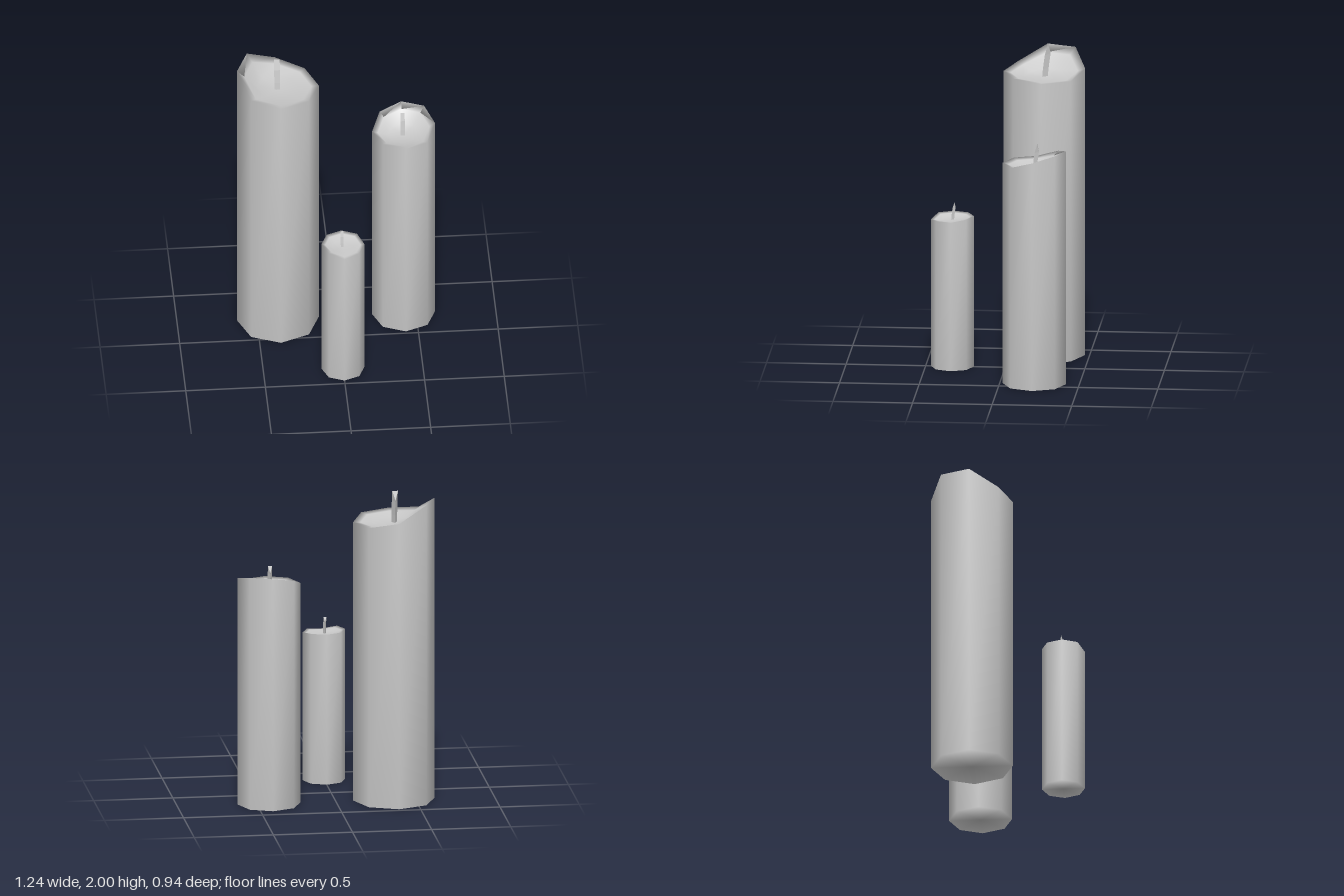
import * as THREE from 'three';

const SIDES = 8;

// Closed loft through rings of points, with a centre point capping each end
function loft(rings, bottom, top, sides) {
  const pos = [...bottom, ...rings.flat(2), ...top];
  const last = 1 + rings.length * sides;
  const id = (r, k) => 1 + r * sides + (k % sides);
  const index = [];
  for (let k = 0; k < sides; k++) {
    index.push(0, id(0, k), id(0, k + 1));
    for (let r = 0; r < rings.length - 1; r++) {
      index.push(id(r, k), id(r + 1, k), id(r, k + 1));
      index.push(id(r, k + 1), id(r + 1, k), id(r + 1, k + 1));
    }
    index.push(id(rings.length - 1, k), last, id(rings.length - 1, k + 1));
  }
  const geo = new THREE.BufferGeometry();
  geo.setAttribute('position', new THREE.Float32BufferAttribute(pos, 3));
  geo.setIndex(index);
  return geo;
}

// Wax body: eight-sided column with an uneven rim and a melted bowl
function waxGeometry(radius, rim, floor) {
  const ring = (scale, height) => Array.from({ length: SIDES }, (_, k) => {
    const a = (k / SIDES) * Math.PI * 2;
    return [Math.cos(a) * radius * scale, height(k), Math.sin(a) * radius * scale];
  });
  const melt = (t) => (k) => floor + (rim[k] - floor) * t;
  const rings = [
    ring(1, () => 0),
    ring(1, melt(1)),
    ring(0.82, melt(0.7)),
    ring(0.5, melt(0.15)),
  ];
  const geo = loft(rings, [0, 0, 0], [0, floor, 0], SIDES);
  geo.computeVertexNormals();
  return geo;
}

// Wick: three-sided strip leaning backwards, cut to a slanted tip
function wickGeometry() {
  // [front y, front z, back y, back z]
  const sections = [
    [-0.02, 0.014, -0.02, -0.02],
    [0.05, 0.008, 0.05, -0.026],
    [0.14, -0.004, 0.14, -0.038],
    [0.21, -0.024, 0.15, -0.04],
  ];
  const w = 0.018;
  const rings = sections.map(([fy, fz, by, bz]) => [[w, fy, fz], [-w, fy, fz], [0, by, bz]]);
  const geo = loft(rings, [0, -0.02, 0], [0, 0.19, -0.029], 3).toNonIndexed();
  geo.computeVertexNormals();
  return geo;
}

export function createModel() {
  const group = new THREE.Group();
  const material = new THREE.MeshStandardMaterial({ color: 0xcccccc });

  // Rim heights run from +x round through the front (+z), -x and the back
  const candles = [
    {
      name: 'tallCandle', x: -0.367, z: -0.215, radius: 0.257, floor: 1.79,
      rim: [1.8, 1.815, 1.82, 1.84, 1.94, 1.94, 1.845, 1.805],
      wickX: -0.005, wickScale: 1,
    },
    {
      name: 'mediumCandle', x: 0.422, z: -0.217, radius: 0.198, floor: 1.385,
      rim: [1.465, 1.42, 1.42, 1.42, 1.42, 1.47, 1.5, 1.5],
      wickX: -0.005, wickScale: 0.74,
    },
    {
      name: 'shortCandle', x: 0, z: 0.333, radius: 0.135, floor: 0.945,
      rim: [0.955, 0.955, 0.942, 0.967, 0.97, 0.97, 0.97, 0.968],
      wickX: -0.005, wickScale: 0.52,
    },
  ];

  for (const c of candles) {
    const candle = new THREE.Group();
    candle.name = c.name;
    candle.position.set(c.x, 0, c.z);

    const wax = new THREE.Mesh(waxGeometry(c.radius, c.rim, c.floor), material);
    wax.name = 'wax';

    const wick = new THREE.Mesh(wickGeometry(), material);
    wick.name = 'wick';
    wick.scale.setScalar(c.wickScale);
    wick.position.set(c.wickX, c.floor, 0);

    candle.add(wax, wick);
    group.add(candle);
  }
  return group;
}
